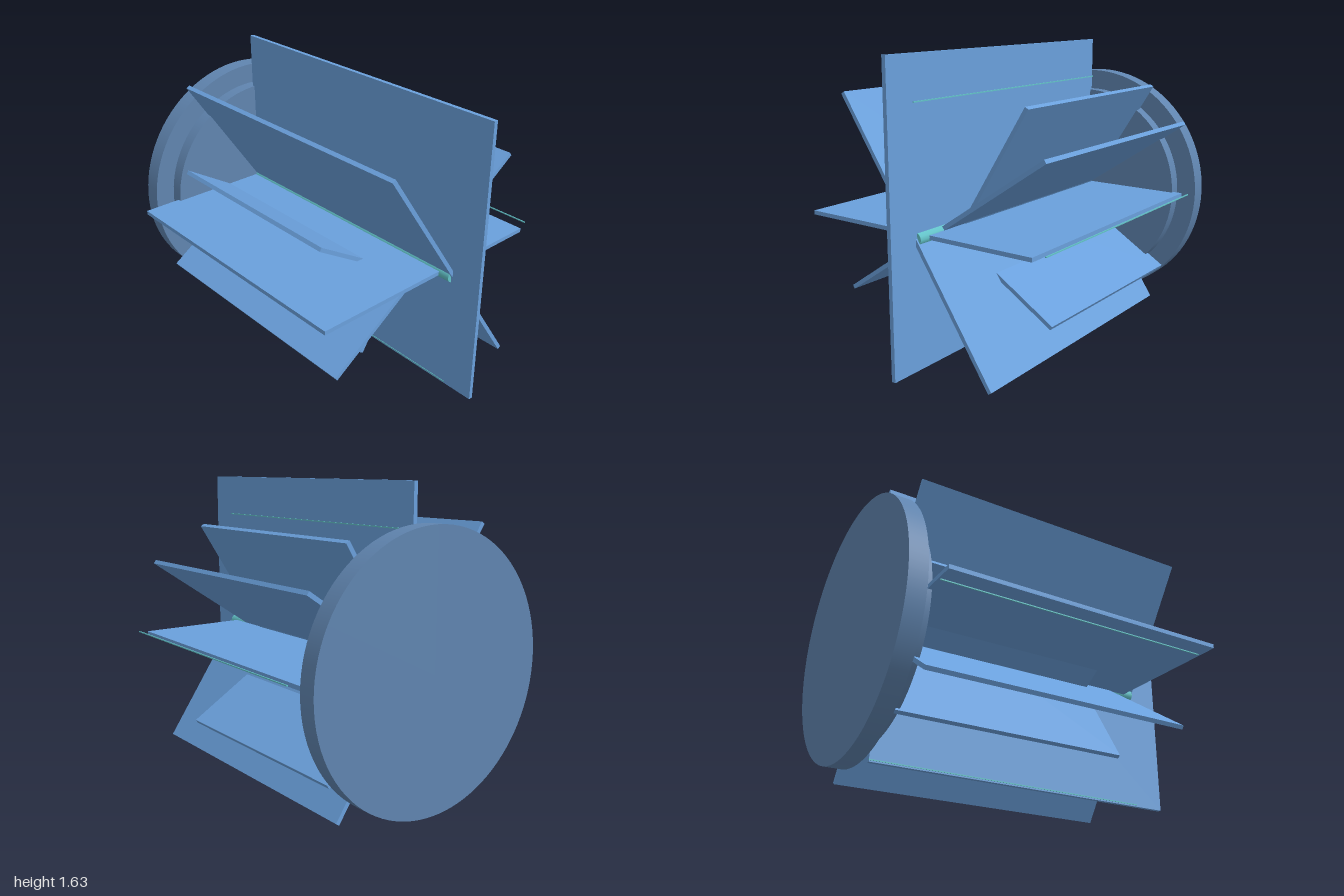
import * as THREE from 'three';

const CX = 0.046, CY = 0.718;

const mat = (name, color) => {
  const m = new THREE.MeshStandardMaterial({ color });
  m.name = name;
  return m;
};

export function createModel() {
  const group = new THREE.Group();
  const finBlue = mat('finBlue', 0x6aa0dc);
  const baseBlue = mat('baseBlue', 0x6085b0);
  const teal = mat('teal', 0x62c2c8);

  const add = (name, geometry, material, x, y, z) => {
    const mesh = new THREE.Mesh(geometry, material);
    mesh.name = name;
    mesh.position.set(x, y, z);
    group.add(mesh);
    return mesh;
  };

  // Round parts lying along z
  const disc = (name, radius, z0, z1, material, sides) => {
    const g = new THREE.CylinderGeometry(radius, radius, z1 - z0, sides);
    g.rotateX(Math.PI / 2);
    add(name, g, material, CX, CY, (z0 + z1) / 2);
  };
  disc('baseDisc', 0.716, -1, -0.9, baseBlue, 96);
  disc('raisedDisc', 0.6, -0.9, -0.826, baseBlue, 96);
  disc('core', 0.036, -0.83, 0.815, teal, 12);

  // Flat plates: end points across the disc, then back and front z
  const fins = [
    ['verticalFin', 0.046, 0.025, 0.046, 1.63, -0.843, 1.0],
    ['horizontalFin', -0.77, 0.718, 0.698, 0.718, -0.848, 0.75],
    ['steepFin', -0.42, 1.414, 0.51, 0.03, -0.848, 0.825],
    ['shortSteepFin', 0.468, 1.365, -0.264, 0.187, -0.86, 0.468],
    ['shallowFin', 0.69, 1.155, -0.6, 0.285, -0.863, 0.637],
    ['offsetFin', -0.488, 0.9, 0.577, 0.238, -0.86, 0.395],
  ];
  for (const [name, x0, y0, x1, y1, z0, z1] of fins) {
    const length = Math.hypot(x1 - x0, y1 - y0);
    const fin = add(name, new THREE.BoxGeometry(length, 0.023, z1 - z0), finBlue,
      (x0 + x1) / 2, (y0 + y1) / 2, (z0 + z1) / 2);
    fin.rotation.z = Math.atan2(y1 - y0, x1 - x0);
  }

  // Thin rods near the outer edges
  const rods = [
    ['topRod', 0.062, 1.4, -0.845, 0.825],
    ['bottomRod', 0.035, 0.036, -0.845, 0.82],
    ['leftRod', 0.76, 0.738, -0.8, 0.73],
    ['rightRod', -0.67, 0.702, -0.84, 0.73],
  ];
  for (const [name, x, y, z0, z1] of rods) {
    add(name, new THREE.BoxGeometry(0.006, 0.006, z1 - z0), teal, x, y, (z0 + z1) / 2);
  }
  return group;
}
